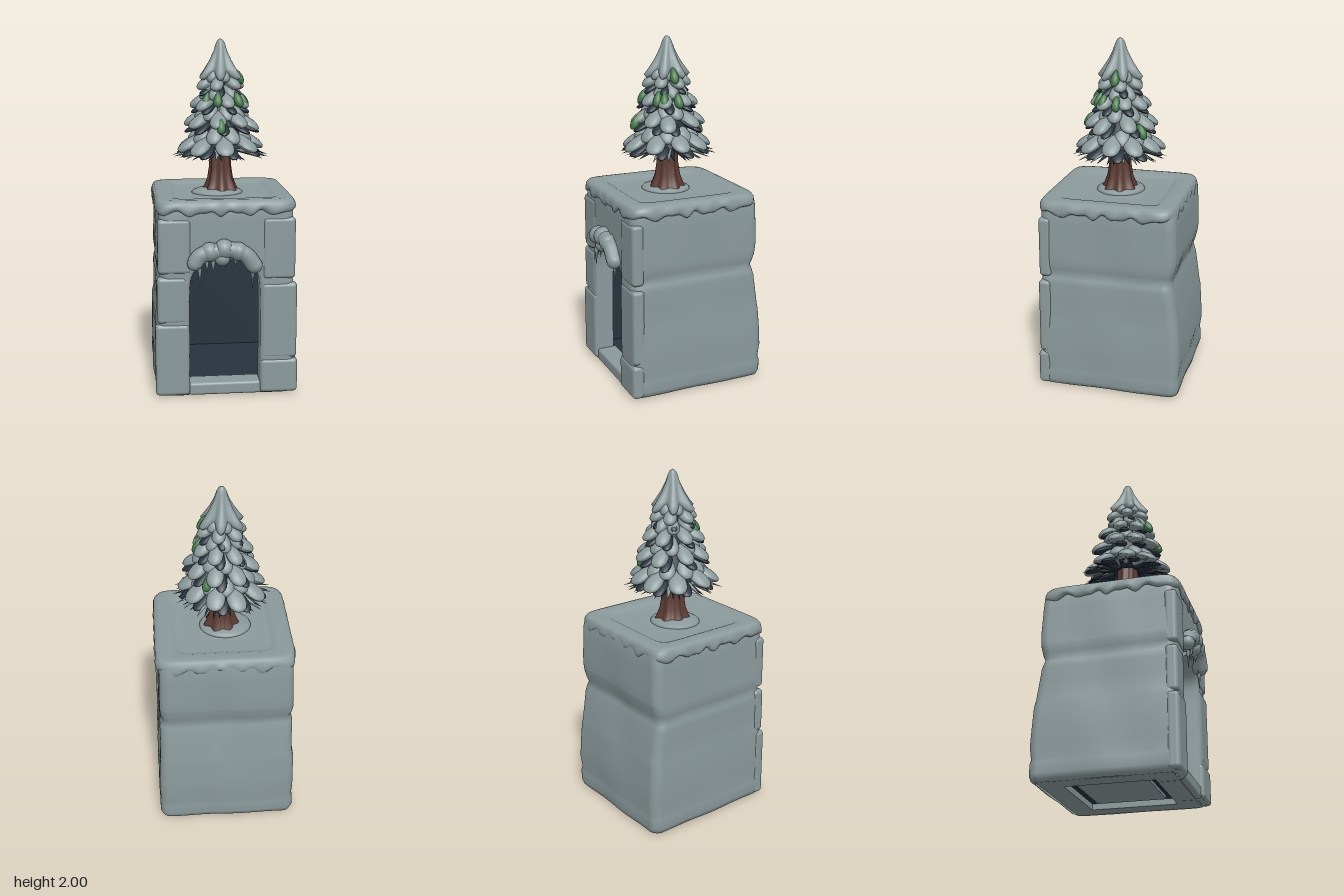
import * as THREE from 'three';
import { RoundedBoxGeometry } from 'three/addons/geometries/RoundedBoxGeometry.js';

const mat = (name, color) => Object.assign(new THREE.MeshStandardMaterial({ color }), { name });

// Skin a stack of rings (bottom to top, running from +z towards +x)
function loft(rings, closed = true) {
  const n = rings[0].length, pos = rings.flat(2), idx = [];
  for (let j = 0; j < rings.length - 1; j++) {
    for (let i = 0; i < (closed ? n : n - 1); i++) {
      const a = j * n + i, b = j * n + (i + 1) % n;
      idx.push(a, b, b + n, a, b + n, a + n);
    }
  }
  const g = new THREE.BufferGeometry();
  g.setAttribute('position', new THREE.Float32BufferAttribute(pos, 3));
  g.setIndex(idx);
  g.computeVertexNormals();
  return g;
}

// Ring whose radius and height follow the angle
function polarRing(n, radius, height) {
  return Array.from({ length: n }, (_, i) => {
    const a = i / n * Math.PI * 2, r = radius(a);
    return [r * Math.sin(a), height(a), r * Math.cos(a)];
  });
}

const hash = (k) => { const s = Math.sin(k * 127.1 + 3.7) * 43758.5453; return s - Math.floor(s); };

export function createModel() {
  const model = new THREE.Group();
  const snow = mat('snowGrey', 0x8b9a9c);
  const shell = mat('stoneGrey', 0x8b9a9c);
  shell.side = THREE.DoubleSide;
  const dark = mat('darkNavy', 0x26323d);
  dark.side = THREE.DoubleSide;
  const green = mat('needleGreen', 0x447a4a);
  const bark = mat('barkBrown', 0x5a3a31);
  const add = (name, geo, material, x = 0, y = 0, z = 0) => {
    const m = new THREE.Mesh(geo, material);
    m.name = name;
    m.position.set(x, y, z);
    model.add(m);
    return m;
  };

  // Stone body: height, left, right, back, front extents and door half width
  const levels = [
    [0, .37, .37, .41, .35, .2], [.012, .393, .39, .432, .372, .2], [.04, .402, .4, .44, .38, .2],
    [.1, .402, .4, .44, .38, .2], [.125, .396, .395, .434, .377, .2], [.2, .4, .4, .443, .38, .2],
    [.3, .399, .398, .438, .38, .2], [.42, .398, .39, .43, .378, .2], [.46, .388, .386, .424, .376, .2],
    [.56, .386, .384, .41, .376, .2], [.64, .388, .384, .398, .376, .197], [.675, .384, .378, .388, .374, .193],
    [.7, .374, .366, .383, .372, .185], [.73, .382, .376, .392, .373, .17], [.77, .388, .38, .402, .374, .13],
    [.795, .386, .38, .406, .374, .07], [.805, .386, .38, .408, .374, 0], [.87, .383, .38, .41, .374, 0],
    [1, .378, .376, .405, .373, 0], [1.08, .375, .375, .4, .373, 0], [1.12, .36, .36, .385, .36, 0],
  ];
  const doorX = -.01, rad = .055;
  const bodyRing = ([y, l, r, b, f, w]) => {
    const k = w > 0 ? 1 : 0;
    const edge = [[w, f - .11 * k], [w, f - .02 * k], [w + .005, f - .005 * k], [w + .02, f]];
    const pts = edge.map(([x, z]) => [doorX + x, y, z]);
    const corners = [[r - rad, f - rad], [r - rad, rad - b], [rad - l, rad - b], [rad - l, f - rad]];
    corners.forEach(([cx, cz], q) => {
      const arc = Array.from({ length: 7 }, (_, i) => {
        const a = (q + i / 6) * Math.PI / 2;
        return [cx + rad * Math.sin(a), y, cz + rad * Math.cos(a)];
      });
      if (q > 0) {
        const p = pts[pts.length - 1], e = arc[0];
        for (let i = 1; i < 8; i++) {
          const t = i / 8, bump = .005 * Math.sin(t * 9 + y * 7 + q) * Math.sin(t * Math.PI);
          const a = q * Math.PI / 2;
          pts.push([p[0] + (e[0] - p[0]) * t + bump * Math.sin(a), y, p[2] + (e[2] - p[2]) * t + bump * Math.cos(a)]);
        }
      }
      pts.push(...arc);
    });
    edge.reverse().forEach(([x, z]) => pts.push([doorX - x, y, z]));
    return pts;
  };
  add('stoneBody', loft(levels.map(bodyRing), false), shell);

  // Raised stones around the doorway: x0, x1, y0, y1, front z
  [
    [-.404, -.212, .012, .43, .386], [-.392, -.225, .435, .7, .38],
    [.19, .404, .012, .21, .388], [.195, .398, .215, .655, .382], [.2, .386, .68, 1.03, .379],
    [-.386, -.2, .72, 1.03, .379],
  ].forEach(([x0, x1, y0, y1, z]) => add('doorStone',
    new RoundedBoxGeometry(x1 - x0, y1 - y0, .07, 3, .022), snow, (x0 + x1) / 2, (y0 + y1) / 2, z - .035));
  add('doorSill', new RoundedBoxGeometry(.41, .072, .12, 3, .015), snow, doorX, .041, .312);

  // Dark chamber, open towards the door
  const room = new THREE.BoxGeometry(.6, .74, .57);
  const ids = Array.from(room.index.array);
  ids.splice(24, 6);
  room.setIndex(ids);
  room.clearGroups();
  add('chamber', room, dark, 0, .445, -.015);

  // Underside rim with a recessed panel
  const rim = new THREE.Shape([[-.365, -.4], [.365, -.4], [.365, .34], [-.365, .34]].map((p) => new THREE.Vector2(...p)));
  rim.holes.push(new THREE.Path([[-.25, -.28], [-.25, .22], [.25, .22], [.25, -.28]].map((p) => new THREE.Vector2(...p))));
  add('baseRim', new THREE.ExtrudeGeometry(rim, { depth: .035, bevelEnabled: false }).rotateX(Math.PI / 2), snow, 0, .036, 0);
  add('baseRecess', new THREE.BoxGeometry(.56, .01, .56), dark, 0, .042, -.03);
  add('basePanel', new THREE.BoxGeometry(.4, .02, .4), snow, 0, .03, -.03);

  // Snow cap with wavy drip edge and sunken middle: half size, height, wave
  const square = (a, h) => h / Math.pow(Math.abs(Math.sin(a)) ** 10 + Math.abs(Math.cos(a)) ** 10, .1);
  const drip = (a) => Math.sin(a * 17) * .6 + Math.sin(a * 29 + 1) * .4;
  const cap = [[.36, 1.07, 1], [.382, 1.06, 1], [.393, 1.067, 1], [.396, 1.085, .6], [.392, 1.112, 0], [.38, 1.128, 0],
    [.355, 1.134, 0], [.3, 1.131, 0], [.28, 1.122, 0], [.262, 1.113, 0], [.15, 1.115, 0], [.002, 1.116, 0]];
  add('snowCap', loft(cap.map(([h, y, w]) => polarRing(160,
    (a) => square(a, h) + .005 * w * Math.sin(a * 23), (a) => y + .018 * w * drip(a)))), shell, 0, 0, -.006);
  const mound = add('snowMound', new THREE.SphereGeometry(1, 24, 10), snow, -.02, 1.115, 0);
  mound.scale.set(.15, .032, .14);

  // Snow hood and icicles above the door
  const arc = new THREE.CatmullRomCurve3([[-.185, .785], [-.15, .83], [-.07, .853], [.02, .86], [.1, .83], [.15, .765]]
    .map(([x, y]) => new THREE.Vector3(x, y, .395)));
  add('snowHood', new THREE.TubeGeometry(arc, 30, .046, 12), snow);
  [[-.185, .785, .04], [-.1, .85, .054], [-.02, .865, .056], [.06, .85, .052], [.15, .768, .045], [-.03, .815, .045]]
    .forEach(([x, y, r]) => add('snowHoodLump', new THREE.SphereGeometry(r, 16, 12), snow, x, y, .395));
  [[-.155, .64, .018], [-.115, .72, .015], [-.08, .715, .016], [-.01, .75, .014], [.045, .76, .014], [.115, .72, .015], [.14, .625, .02]]
    .forEach(([x, tip, r]) => {
      const h = .81 - tip;
      add('icicle', new THREE.ConeGeometry(r, h, 8).rotateX(Math.PI), snow, x, tip + h / 2, .39);
    });

  // Trunk with flared, ribbed foot
  add('trunk', loft([[1.11, .11], [1.15, .088], [1.2, .07], [1.27, .06], [1.42, .055]].map(([y, r]) =>
    polarRing(42, (a) => r * (1 + .1 * Math.cos(a * 7)), () => y))), bark);

  // Dark inner foliage
  add('innerFoliage', new THREE.ConeGeometry(.16, .5, 18), dark, 0, 1.635, 0);

  // Drooping boughs, wider at the outer end
  const lobe = new THREE.SphereGeometry(1, 16, 10).rotateX(Math.PI / 2);
  const lp = lobe.attributes.position;
  for (let i = 0; i < lp.count; i++) lp.setX(i, lp.getX(i) * (.85 + .3 * lp.getZ(i)));
  lobe.computeVertexNormals();
  const bough = (name, material, a, r, y, size, droop, geo = lobe) => {
    const m = add(name, geo, material, r * Math.sin(a), y, r * Math.cos(a));
    m.rotation.set(droop, a, 0, 'YXZ');
    m.scale.set(...size);
    return m;
  };
  // Tiers: height, reach, count, half width, half length
  [[1.415, .25, 9, .06, .095], [1.54, .215, 8, .053, .085], [1.65, .172, 7, .047, .075], [1.745, .142, 6, .042, .065]]
    .forEach(([y, reach, n, w, l], t) => {
      for (let i = 0; i < n; i++) {
        const j = hash(t * 20 + i), a = (i + t * .5 + j * .3) / n * Math.PI * 2;
        const r = reach - l * .85 - (j - .5) * .02;
        bough('snowBough', snow, a, r, y + (j - .5) * .025, [w, .032, l], .5);
        bough('darkBough', dark, a + .2, r - .005, y - .035, [w * .7, .018, l], .45);
        bough('upperBough', snow, a + Math.PI / n, r * .72, y + .05, [w * .85, .03, l * .8], .7);
      }
    });
  // Thin needles around the lowest tier
  const spike = new THREE.ConeGeometry(1, 2, 8).rotateX(Math.PI / 2);
  for (let i = 0; i < 18; i++) {
    const a = (i + hash(i + 90) * .6) / 18 * Math.PI * 2, r = .175 + hash(i + 50) * .025;
    bough('needle', i % 4 ? snow : dark, a, r, 1.36, [.026, .018, .095], .28, spike);
    bough('needleShade', dark, a + .12, r - .015, 1.352, [.024, .014, .09], .25, spike);
  }
  // Bare green boughs: angle, reach, height
  [[-.08, .185, 1.52], [1.05, .135, 1.655], [1.65, .13, 1.65], [-.2, .135, 1.665], [.75, .13, 1.66],
    [1.55, .1, 1.785], [-.8, .12, 1.66], [2.6, .17, 1.49]]
    .forEach(([a, r, y]) => bough('greenBough', green, a, r, y, [.028, .026, .05], .95));

  // Pointed snow top with star-like skirt: height, radius, star depth
  const tip = [[1.79, .03, 0], [1.785, .09, .35], [1.8, .105, .3], [1.83, .088, .26], [1.88, .062, .18], [1.93, .04, .1],
    [1.97, .027, 0], [1.99, .016, 0], [2, .001, 0]];
  add('treeTop', loft(tip.map(([y, r, s]) => polarRing(48, (a) => r * (1 + s * Math.cos(a * 6 + .6)),
    (a) => y - s * .05 * Math.cos(a * 6 + .6)))), shell);
  return model;
}
